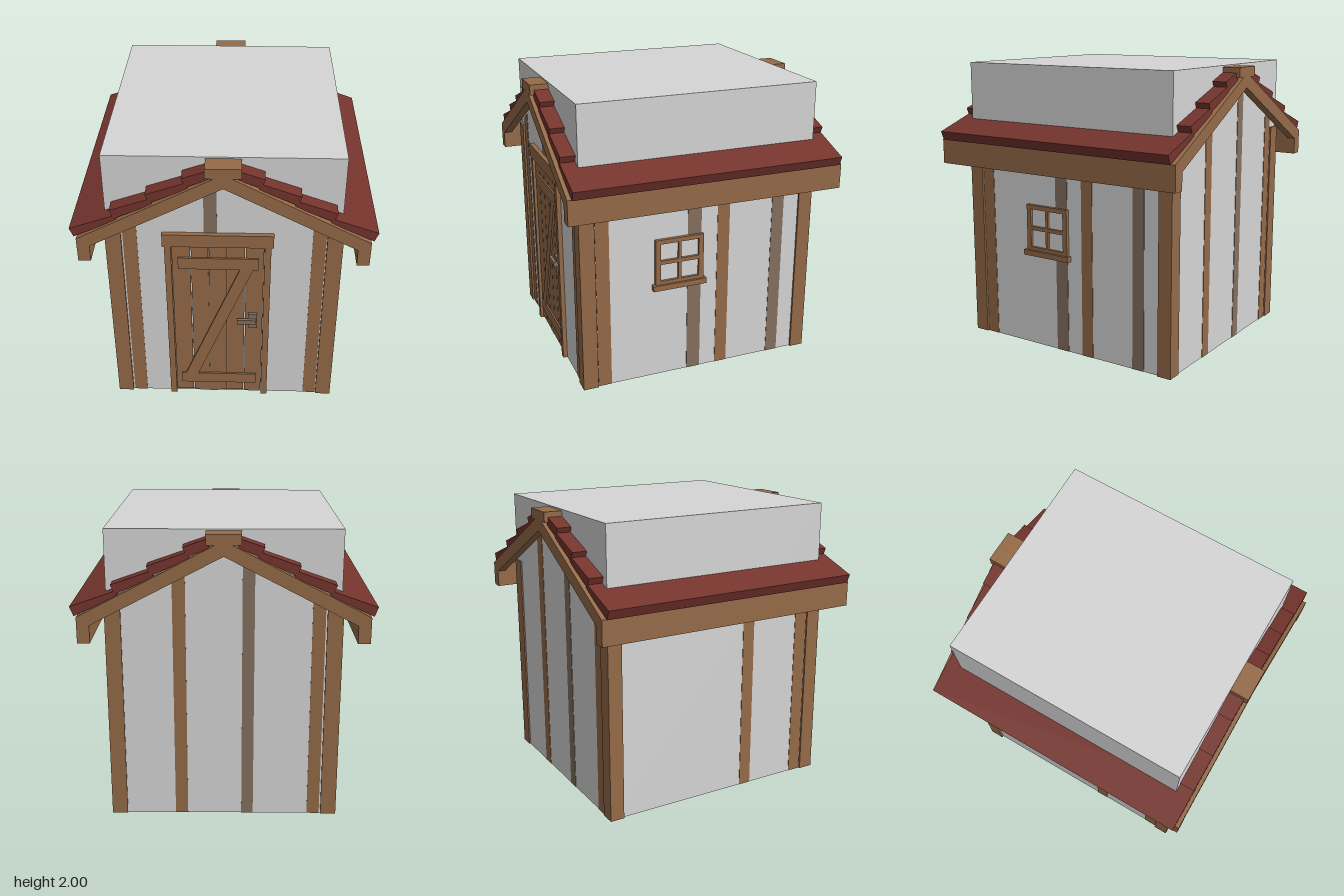
import * as THREE from 'three';

const paint = (name, color) => {
  const m = new THREE.MeshStandardMaterial({ color });
  m.name = name;
  return m;
};

export function createModel() {
  const model = new THREE.Group();
  model.name = 'gardenShed';
  const wall = paint('wallGrey', 0xd6d6d6);
  const wood = paint('wood', 0x956b48);
  const worn = paint('wornGreyBrown', 0x85705f);
  const tile = paint('roofRed', 0x75342d);

  const add = (name, geo, mat, parent = model) => {
    const m = new THREE.Mesh(geo, mat);
    m.name = name;
    parent.add(m);
    return m;
  };
  // Box given by its limits on each axis
  const box = (name, mat, x0, x1, y0, y1, z0, z1, parent) => {
    const g = new THREE.BoxGeometry(x1 - x0, y1 - y0, z1 - z0);
    g.translate((x0 + x1) / 2, (y0 + y1) / 2, (z0 + z1) / 2);
    return add(name, g, mat, parent);
  };
  // Outline in x and y, extruded from z0 to z1
  const prism = (name, mat, pts, z0, z1, parent) => {
    const shape = new THREE.Shape(pts.map(([x, y]) => new THREE.Vector2(x, y)));
    const g = new THREE.ExtrudeGeometry(shape, { depth: z1 - z0, bevelEnabled: false });
    g.translate(0, 0, z0);
    return add(name, g, mat, parent);
  };
  const slope = (x) => 1.95 - 0.525 * Math.abs(x);

  // Wall block
  box('walls', wall, -0.76, 0.76, 0, 2, -0.84, 0.84);

  // Corner boards
  for (const s of [-1, 1]) {
    for (const f of [-1, 1]) {
      const [xa, xb] = s > 0 ? [0.67, 0.775] : [-0.775, -0.67];
      const [za, zb] = f > 0 ? [0.835, 0.855] : [-0.85, -0.835];
      box('cornerBoardEnd', wood, xa, xb, 0, 1.5, za, zb);
      const [xc, xd] = s > 0 ? [0.755, 0.775] : [-0.775, -0.755];
      const [zc, zd] = f > 0 ? [0.75, 0.855] : [-0.85, -0.75];
      box('cornerBoardSide', wood, xc, xd, 0, 1.5, zc, zd);
    }
  }

  // Thin wall planks on the gable ends: [side, from, to, material]
  for (const [f, a, b, mat] of [
    [1, -0.66, -0.567, wood], [1, 0.577, 0.665, wood], [1, -0.13, -0.045, worn],
    [-1, 0.25, 0.335, wood], [-1, -0.2, -0.12, worn], [-1, -0.66, -0.575, wood],
  ]) {
    const pts = [[a, 0], [b, 0], [b, slope(b) - 0.04], [a, slope(a) - 0.04]];
    if (f > 0) prism('gablePlank', mat, pts, 0.836, 0.843);
    else prism('gablePlank', mat, pts, -0.843, -0.836);
  }
  // Thin wall planks on the long sides
  for (const [s, a, b, mat] of [
    [1, 0.65, 0.745, wood], [1, -0.01, 0.09, worn], [1, -0.22, -0.13, wood], [1, -0.635, -0.545, worn],
    [-1, 0.65, 0.745, wood], [-1, 0.2, 0.29, wood],
  ]) {
    const [xa, xb] = s > 0 ? [0.756, 0.763] : [-0.763, -0.756];
    box('sidePlank', mat, xa, xb, 0, 1.5, a, b);
  }

  // Roof: overlapping courses, eave beams, barge boards and ridge
  const courses = [[0.98, 1.52], [0.715, 1.662], [0.485, 1.783], [0.257, 1.903]];
  for (const s of [-1, 1]) {
    const flip = (pts) => pts.map(([x, y]) => [x * s, y]);
    courses.forEach(([x, y], i) => {
      const end = i < 3 ? courses[i + 1][0] - 0.04 : 0.09;
      prism('roofCourse', tile, flip([
        [x, y], [x - 0.025, y - 0.062], [end, slope(end) - 0.005], [end, y + (x - end) * 0.35],
      ]), -0.94, 0.94);
    });
    prism('eaveBeam', wood, flip([
      [0.855, 1.285], [0.937, 1.285], [0.937, 1.457], [0.855, 1.495],
    ]), -0.966, 0.966);
    for (const z of [-0.966, 0.906]) {
      prism('bargeBoard', wood, flip([
        [0, 1.85], [0.856, 1.402], [0.935, 1.459], [0, 1.95],
      ]), z, z + 0.06);
    }
  }
  box('ridgeBeam', wood, -0.113, 0.113, 1.92, 1.99, -0.967, 0.967);

  // Door: planks, frame, Z brace and latch
  const door = new THREE.Group();
  door.name = 'door';
  model.add(door);
  const seams = [-0.347, -0.22, -0.102, 0.022, 0.142, 0.267];
  for (let i = 0; i < 5; i++) {
    box('doorPlank', wood, seams[i] + 0.003, seams[i + 1] - 0.003, 0.02, 1.335, 0.838, 0.85, door);
  }
  box('doorJamb', wood, -0.39, -0.347, 0, 1.338, 0.838, 0.87, door);
  box('doorJamb', wood, 0.267, 0.31, 0, 1.338, 0.838, 0.87, door);
  box('doorLintel', wood, -0.403, 0.325, 1.338, 1.433, 0.838, 0.874, door);
  box('upperLedge', wood, -0.305, 0.23, 1.148, 1.238, 0.848, 0.862, door);
  box('lowerLedge', wood, -0.305, 0.23, 0.103, 0.19, 0.848, 0.862, door);
  prism('diagonalBrace', wood, [[-0.275, 0.19], [-0.187, 0.19], [0.195, 1.148], [0.107, 1.148]], 0.848, 0.862, door);
  box('latchPlate', worn, 0.165, 0.228, 0.645, 0.768, 0.848, 0.868, door);
  box('latchLever', worn, 0.09, 0.22, 0.692, 0.727, 0.866, 0.888, door);

  // Side window: frame with four openings, and sill
  const frame = new THREE.Shape();
  frame.moveTo(-0.02, 0.7).lineTo(0.33, 0.7).lineTo(0.33, 1.03).lineTo(-0.02, 1.03).closePath();
  for (const z of [0.015, 0.165]) {
    for (const y of [0.728, 0.877]) {
      const hole = new THREE.Path();
      hole.moveTo(z, y).lineTo(z, y + 0.122).lineTo(z + 0.13, y + 0.122).lineTo(z + 0.13, y).closePath();
      frame.holes.push(hole);
    }
  }
  const frameGeo = new THREE.ExtrudeGeometry(frame, { depth: 0.025, bevelEnabled: false });
  frameGeo.translate(0, 0, -0.0125).rotateY(-Math.PI / 2).translate(0.7715, 0, 0);
  add('windowFrame', frameGeo, wood);
  // Pane backing, level with the wall finish
  box('windowPanes', wall, 0.756, 0.766, 0.71, 1.02, -0.01, 0.32);
  box('windowSill', wood, 0.757, 0.8, 0.665, 0.703, -0.037, 0.35);

  return model;
}
